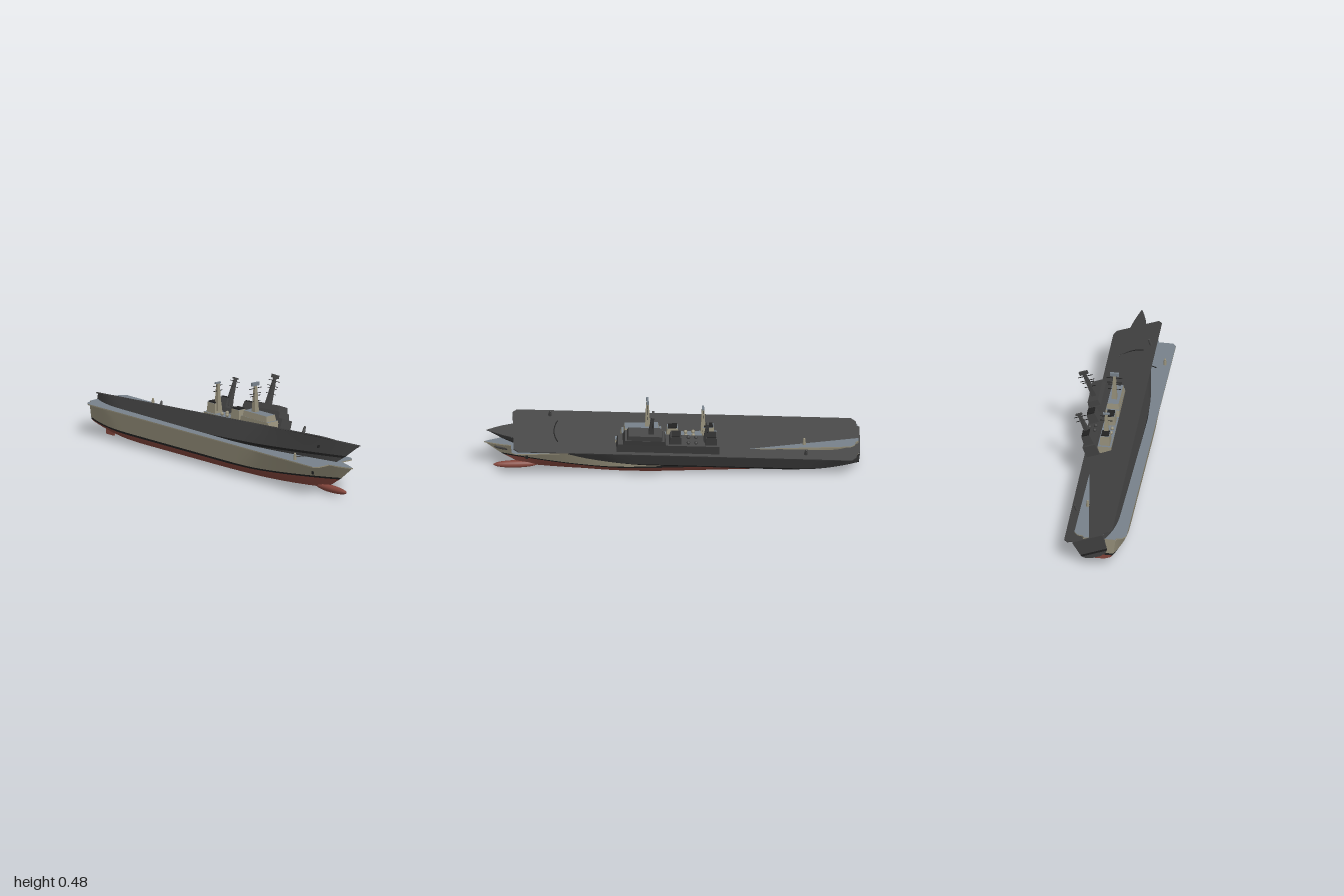
import * as THREE from 'three';
import { toCreasedNormals } from 'three/addons/utils/BufferGeometryUtils.js';

const mat = (name, color) => {
  const m = new THREE.MeshStandardMaterial({ color });
  m.name = name;
  return m;
};
const clamp = THREE.MathUtils.clamp, lerp = THREE.MathUtils.lerp;

// Hull surface point: u runs stern to bow, row runs keel to deck edge
const HALF = [0, 0.045, 0.1, 0.121, 0.124, 0.132, 0.137];
function hullPoint(u, row) {
  const aft = clamp((0.2 - u) / 0.2, 0, 1), fore = clamp((u - 0.7) / 0.3, 0, 1);
  const keel = 0.045 * aft ** 1.4 + 0.028 * fore ** 2;
  const water = 0.055 + 0.015 * aft ** 2 + 0.034 * fore ** 1.5;
  const y = [keel, keel, lerp(keel, water, 0.42), water, water + 0.012, 0.13, 0.168][row];
  const t = row / 6;
  const stem = y > 0.1 ? lerp(0.91, 0.995, (y - 0.1) / 0.068) : lerp(0.8, 0.91, (y - 0.03) / 0.07);
  const u0 = lerp(0.52, 0.7, t);
  const bow = 1 - clamp((u - u0) / (1 - u0), 0, 1) ** 1.7;
  const run = lerp(0.3, 0.07, t);
  const stern = 1 - lerp(0.45, 0.36, t) * clamp((run - u) / run, 0, 1) ** 2;
  return [HALF[row] * bow * stern, y, lerp(-0.99, stem, u)];
}

// One colour band of the hull, both sides and its share of the transom
function hullBand(r0, r1) {
  const pos = [], N = 40;
  const tri = (...p) => p.forEach((v) => pos.push(...v));
  const at = (i, r, s) => {
    const p = hullPoint(i / N, r);
    return [p[0] * s, p[1], p[2]];
  };
  for (let r = r0; r < r1; r++) {
    for (let i = 0; i < N; i++) {
      for (const s of [1, -1]) {
        const a = at(i, r, s), b = at(i + 1, r, s), c = at(i, r + 1, s), d = at(i + 1, r + 1, s);
        if (s > 0) { tri(a, c, b); tri(b, c, d); } else { tri(a, b, c); tri(b, d, c); }
      }
    }
    const l0 = at(0, r, -1), l1 = at(0, r + 1, -1), R0 = at(0, r, 1), R1 = at(0, r + 1, 1);
    tri(l0, l1, R1);
    tri(l0, R1, R0);
  }
  const g = new THREE.BufferGeometry();
  g.setAttribute('position', new THREE.Float32BufferAttribute(pos, 3));
  return toCreasedNormals(g, 0.6);
}

// Flight deck with a pointed bow
function deckGeometry() {
  const half = [[0.085, -0.99], [0.09, -0.975], [0.12, -0.97], [0.14, -0.945], [0.14, 0.835],
    [0.122, 0.858], [0.046, 0.858], [0.033, 0.91], [0.016, 0.96]];
  const pts = [...half, [0, 1], ...half.map(([x, z]) => [-x, z]).reverse()];
  const shape = new THREE.Shape(pts.map(([x, z]) => new THREE.Vector2(x, z)));
  return new THREE.ExtrudeGeometry(shape, { depth: 0.006, bevelEnabled: false })
    .rotateX(Math.PI / 2).translate(0, 0.172, 0);
}

// Box whose top is smaller than its base
function taperedBox(w, h, d, topX, topZ) {
  const g = new THREE.BoxGeometry(w, h, d), p = g.attributes.position;
  for (let i = 0; i < p.count; i++) {
    if (p.getY(i) > 0) { p.setX(i, p.getX(i) * topX); p.setZ(i, p.getZ(i) * topZ); }
  }
  g.computeVertexNormals();
  return g;
}

function ship(name, c) {
  const g = new THREE.Group();
  g.name = name;
  const add = (part, geo, m, x = 0, y = 0, z = 0) => {
    const mesh = new THREE.Mesh(geo, m);
    mesh.name = part;
    mesh.position.set(x, y, z);
    g.add(mesh);
    return mesh;
  };
  // Hull
  add('lowerHull', hullBand(0, 3), c.bottom);
  add('waterline', hullBand(3, 4), c.stripe);
  add('upperHull', hullBand(4, 6), c.hull);
  add('flightDeck', deckGeometry(), [c.deck, c.hull]);
  add('bowBulb', new THREE.SphereGeometry(1, 20, 14).scale(0.02, 0.02, 0.12), c.bottom, 0, 0.026, 0.83);
  for (const s of [1, -1]) {
    add('rudder', taperedBox(0.008, 0.05, 0.06, 1, 1.2), c.bottom, s * 0.045, 0.027, -0.87);
    add('anchor', new THREE.BoxGeometry(0.006, 0.016, 0.014), c.stripe, s * 0.085, 0.118, 0.775);
  }

  // Island
  const X = 0.085;
  const block = (part, w, h, d, y, z, tx, tz, top = c.deck) =>
    add(part, taperedBox(w, h, d, tx, tz), [c.hull, c.hull, top, c.hull, c.hull, c.hull], X, y + h / 2, z);
  block('island', 0.076, 0.066, 0.55, 0.17, 0.035, 0.96, 0.985);
  block('bridgeLower', 0.074, 0.035, 0.23, 0.235, 0.165, 0.98, 0.92);
  block('bridgeUpper', 0.07, 0.032, 0.19, 0.269, 0.165, 0.85, 0.94);
  for (const z of [0, -0.19]) {
    block('funnel', 0.055, 0.055, 0.066, 0.235, z, 0.85, 0.85);
    add('funnelCap', new THREE.BoxGeometry(0.04, 0.008, 0.048), c.stripe, X, 0.293, z);
  }
  for (const z of [-0.07, -0.11]) {
    for (const s of [1, -1]) {
      add('radarDome', new THREE.SphereGeometry(0.01, 12, 8), c.hull, X + s * 0.018, 0.244, z);
    }
  }

  // Masts with yards
  const mast = (z, base, top, plateW, plateH, yards) => {
    const h = top - base;
    const pole = new THREE.CylinderGeometry(0.0095, 0.02, h, 4, 1).rotateY(Math.PI / 4).toNonIndexed();
    pole.computeVertexNormals();
    add('mast', pole, c.hull, X, base + h / 2, z);
    add('mastRadar', new THREE.BoxGeometry(plateW, plateH, 0.012), c.deck, X, top + plateH / 2, z);
    for (const [y, w] of yards) add('yard', new THREE.BoxGeometry(w, 0.003, 0.003), c.stripe, X, y, z);
  };
  mast(0.133, 0.3, 0.442, 0.048, 0.019, [[0.428, 0.085], [0.399, 0.08], [0.386, 0.068], [0.357, 0.068]]);
  mast(-0.163, 0.25, 0.397, 0.036, 0.008, [[0.385, 0.066], [0.357, 0.066]]);

  // Deck guns
  for (const [x, z] of [[-0.108, 0.66], [0.105, -0.7]]) {
    add('gunBase', new THREE.CylinderGeometry(0.007, 0.009, 0.026, 12), c.hull, x, 0.184, z);
    add('gunDome', new THREE.CapsuleGeometry(0.006, 0.008, 4, 12), c.hull, x, 0.2, z);
  }

  // Curved blast shield on the forward deck
  const arc = new THREE.QuadraticBezierCurve3(new THREE.Vector3(-0.07, 0.173, 0.62),
    new THREE.Vector3(0, 0.173, 0.66), new THREE.Vector3(0.07, 0.173, 0.62));
  add('blastShield', new THREE.TubeGeometry(arc, 12, 0.003, 6), c.stripe);
  return g;
}

export function createModel() {
  const beige = mat('beige', 0x958f7a), grey = mat('deck grey', 0x77818a), red = mat('hull red', 0x84463c);
  const black = mat('black', 0x222222), dark = mat('charcoal', 0x424242);
  const model = new THREE.Group();
  model.name = 'twinCarriers';

  // Upright painted ship
  const painted = ship('paintedShip', { bottom: red, stripe: black, hull: beige, deck: grey });
  painted.position.x = -0.07;

  // Charcoal ship, heeled over with its bow raised
  const charcoal = ship('charcoalShip', { bottom: dark, stripe: black, hull: dark, deck: dark });
  charcoal.position.set(-0.07, 0.066, 0);
  charcoal.rotation.set(-0.058, 0, -0.384);

  model.add(painted, charcoal);
  return model;
}
